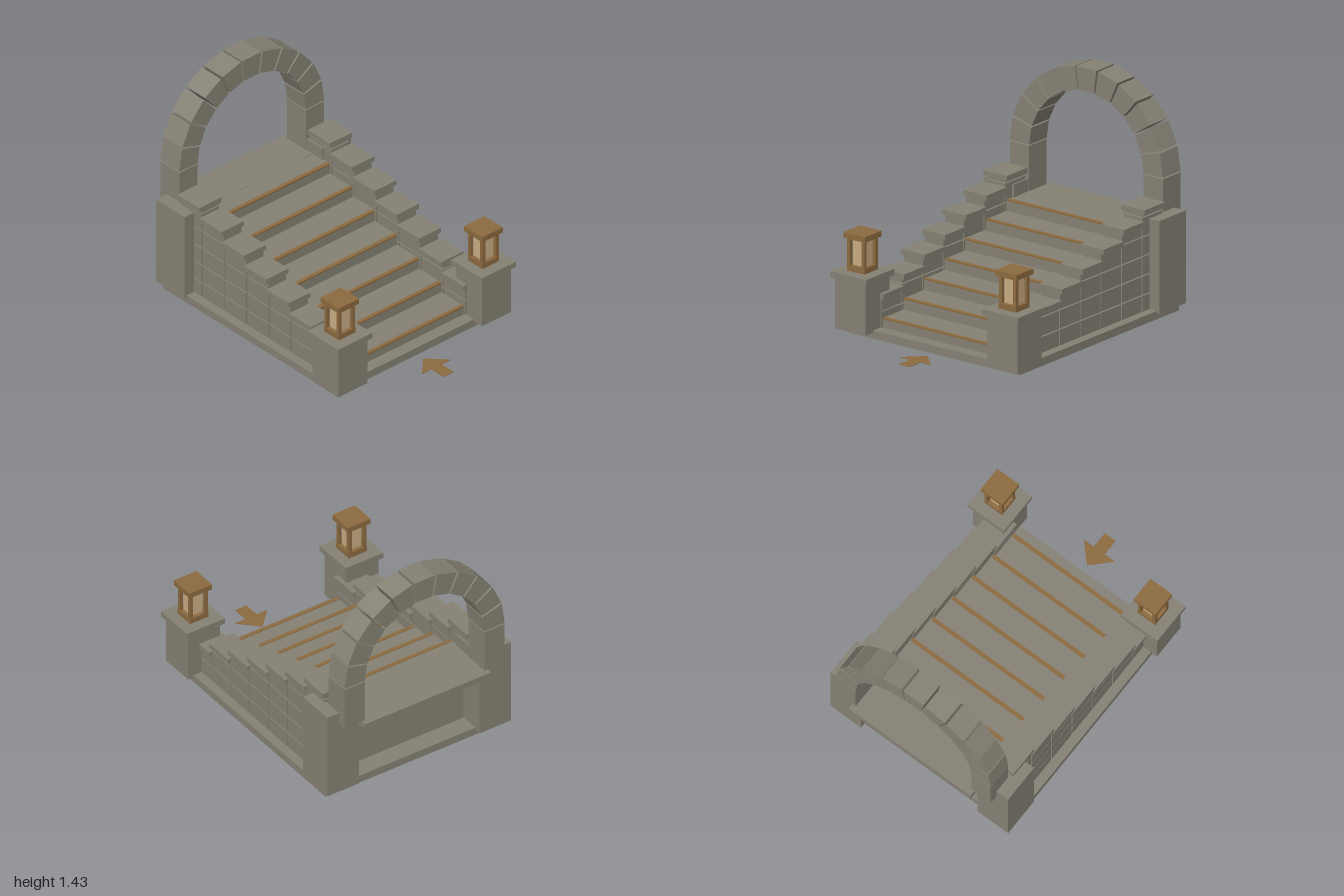
import * as THREE from 'three';

const stone = new THREE.MeshStandardMaterial({ color: 0x858174 });
stone.name = 'stone';
const wood = new THREE.MeshStandardMaterial({ color: 0x8c6a3f });
wood.name = 'wood';
const glass = new THREE.MeshStandardMaterial({ color: 0xc8ac82 });
glass.name = 'lampGlass';

// Box given by its lower and upper bounds on each axis
function box(parent, name, mat, [x0, x1], [y0, y1], [z0, z1]) {
  const mesh = new THREE.Mesh(new THREE.BoxGeometry(x1 - x0, y1 - y0, z1 - z0), mat);
  mesh.position.set((x0 + x1) / 2, (y0 + y1) / 2, (z0 + z1) / 2);
  mesh.name = name;
  parent.add(mesh);
  return mesh;
}

// Flat outline pushed out along z
function slab(points, depth) {
  const shape = new THREE.Shape(points.map(([x, y]) => new THREE.Vector2(x, y)));
  return new THREE.ExtrudeGeometry(shape, { depth, bevelEnabled: false });
}

const STEPS = 7, RISE = 0.0725, RUN = 0.2025;
const BASE_TOP = 0.052;

function createStairs() {
  const g = new THREE.Group();
  g.name = 'stairs';
  for (let i = 0; i < STEPS; i++) {
    const top = 0.113 + RISE * i, front = 0.628 - RUN * i;
    box(g, 'step', stone, [-0.455, 0.455], [BASE_TOP, top], [-0.735, front]);
    box(g, 'stepNosing', wood, [-0.45, 0.45], [top - 0.006, top + 0.004], [front - 0.02, front + 0.005]);
  }
  box(g, 'landing', stone, [-0.465, 0.465], [0.507, 0.55], [-1, -0.735]);
  return g;
}

// Stepped side wall of coursed blocks, each column with a cap
function createSideWall(s) {
  const g = new THREE.Group();
  g.name = 'sideWall';
  const span = (a, b) => (s > 0 ? [a, b] : [-b, -a]);
  const courses = [0.05, 0.157, 0.281, 0.405, 0.53, 0.655, 0.78];
  const gap = 0.004;
  for (let i = 0; i < STEPS; i++) {
    const z = 0.542 - RUN * i, top = 0.237 + RISE * i;
    for (let c = 0; courses[c] < top - 0.01; c++) {
      const y1 = courses[c + 1] < top ? courses[c + 1] - gap : top;
      box(g, 'wallBlock', stone, span(0.457, 0.6), [courses[c] + (c ? gap : 0), y1], [z - 0.097, z + 0.097]);
    }
    box(g, 'wallCap', stone, span(0.44, 0.62), [top, top + 0.034], [z - 0.101, z + 0.101]);
  }
  return g;
}

function createLantern() {
  const g = new THREE.Group();
  g.name = 'lantern';
  box(g, 'lanternBase', wood, [-0.067, 0.067], [0, 0.036], [-0.067, 0.067]);
  box(g, 'lanternGlass', glass, [-0.042, 0.042], [0.036, 0.21], [-0.042, 0.042]);
  for (const x of [-0.055, 0.055]) for (const z of [-0.055, 0.055]) {
    box(g, 'lanternPost', wood, [x - 0.011, x + 0.011], [0.036, 0.21], [z - 0.011, z + 0.011]);
  }
  box(g, 'lanternRoof', wood, [-0.083, 0.083], [0.21, 0.246], [-0.083, 0.083]);
  return g;
}

// Half ring of wedge stones standing on two piers
function createArch() {
  const g = new THREE.Group();
  g.name = 'arch';
  const inner = 0.44, outer = 0.59, count = 11, pitch = Math.PI / count;
  const half = pitch * 0.455;
  const wedge = slab([[outer, -half], [outer, half], [inner, half], [inner, -half]]
    .map(([r, a]) => [r * Math.cos(a), r * Math.sin(a)]), 0.173);
  for (let i = 0; i < count; i++) {
    const m = new THREE.Mesh(wedge, stone);
    m.name = 'archStone';
    m.rotation.z = pitch * (i + 0.5);
    m.position.set(0, 0.842, -0.963);
    g.add(m);
  }
  for (const x of [-0.515, 0.515]) {
    box(g, 'archPier', stone, [x - 0.074, x + 0.074], [0.548, 0.84], [-0.963, -0.79]);
  }
  return g;
}

export function createModel() {
  const model = new THREE.Group();
  model.name = 'stoneStairway';

  box(model, 'base', stone, [-0.66, 0.66], [0, BASE_TOP], [-0.86, 0.71]);
  model.add(createStairs(), createArch());

  for (const s of [-1, 1]) {
    const span = (a, b) => (s > 0 ? [a, b] : [-b, -a]);
    model.add(createSideWall(s));
    box(model, 'frontPost', stone, span(0.467, 0.702), [0.037, 0.366], [0.547, 0.783]);
    box(model, 'frontPostCap', stone, span(0.445, 0.724), [0.366, 0.404], [0.525, 0.804]);
    box(model, 'backPost', stone, span(0.445, 0.677), [0.037, 0.63], [-0.905, -0.645]);
    const lantern = createLantern();
    lantern.position.set(s * 0.584, 0.404, 0.664);
    model.add(lantern);
  }

  // Flat arrow on the ground pointing to the stairs
  const arrow = new THREE.Mesh(slab([[0, -0.77], [-0.118, -0.89], [-0.041, -0.89], [-0.041, -1],
    [0.041, -1], [0.041, -0.89], [0.118, -0.89]], 0.003), wood);
  arrow.rotation.x = -Math.PI / 2;
  arrow.name = 'groundArrow';
  model.add(arrow);

  return model;
}
